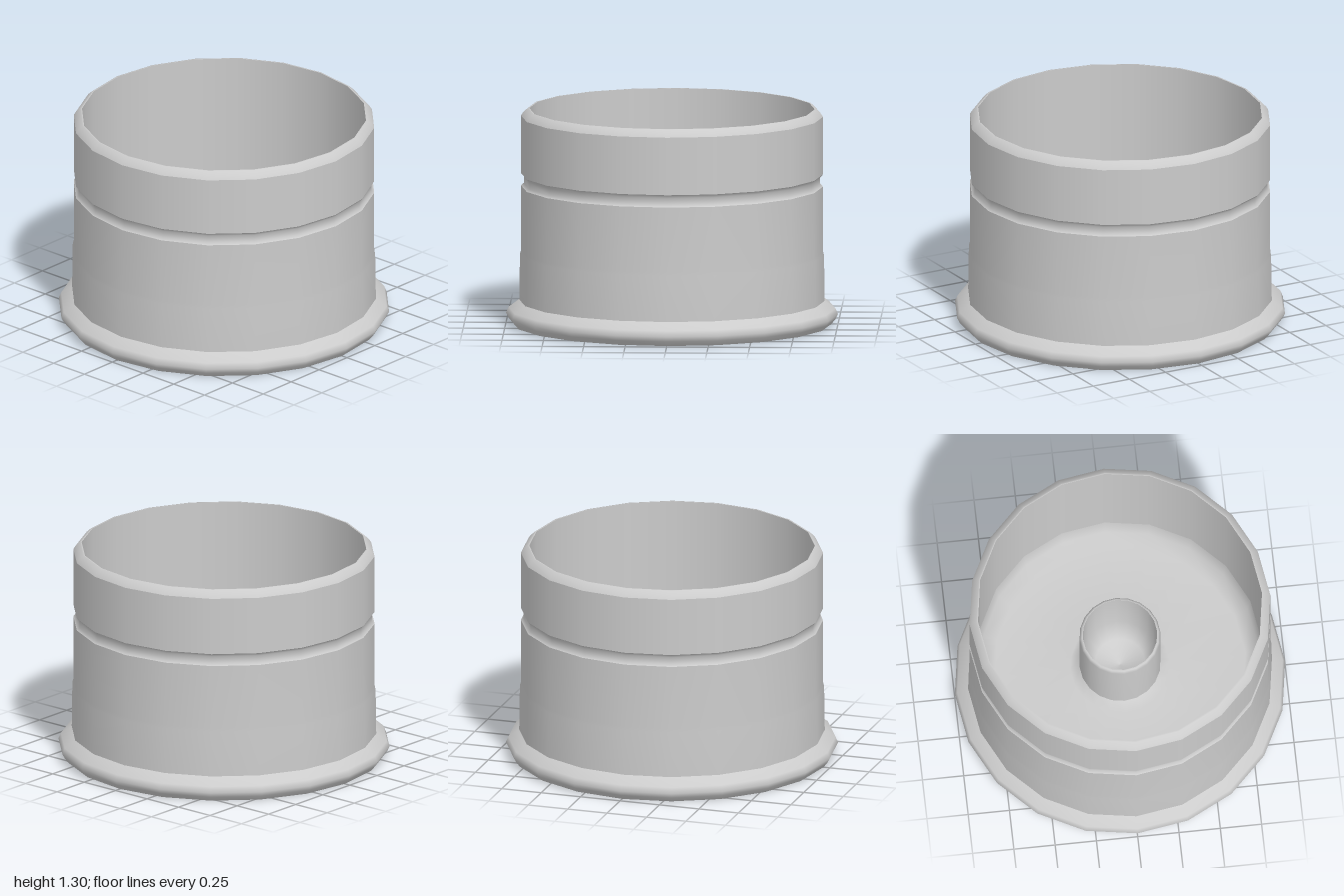
import * as THREE from 'three';

const SIDES = 20;

export function createModel() {
  const model = new THREE.Group();
  const material = new THREE.MeshStandardMaterial({ color: 0xcccccc, side: THREE.DoubleSide });

  // Turns a [radius, height] profile around the y axis; normals stay smooth within one part
  function turned(name, profile) {
    const points = profile.map(([r, y]) => new THREE.Vector2(r, y));
    const mesh = new THREE.Mesh(new THREE.LatheGeometry(points, SIDES), material);
    mesh.name = name;
    model.add(mesh);
  }

  // Underside with a round recess in the middle
  turned('baseRecess', [[0, 0.26], [0.2, 0.24], [0.245, 0.18], [0.25, 0]]);
  turned('baseUnderside', [[0.25, 0], [0.96, 0]]);

  // Flared foot
  turned('footRim', [[0.96, 0], [0.985, 0.03], [1, 0.06], [0.985, 0.095], [0.92, 0.14]]);

  // Outer wall, with the groove and bevelled lip
  turned('lowerWall', [[0.92, 0.14], [0.916, 0.42], [0.91, 0.44], [0.91, 0.835]]);
  turned('groove', [[0.91, 0.835], [0.893, 0.85], [0.893, 0.89], [0.91, 0.91]]);
  turned('upperWall', [[0.91, 0.91], [0.91, 1.26]]);
  turned('lip', [[0.91, 1.26], [0.897, 1.28], [0.87, 1.305], [0.86, 1.305]]);

  // Inner wall running down to the floor and up the central post
  turned('innerWall', [[0.86, 1.305], [0.86, 0.45]]);
  turned('innerFloor', [[0.86, 0.45], [0.84, 0.34], [0.76, 0.28], [0.3, 0.28], [0.245, 0.33]]);
  turned('centrePost', [[0.245, 0.33], [0.245, 0.8], [0.235, 0.82], [0.225, 0.82]]);
  turned('postCup', [[0.225, 0.82], [0.22, 0.46], [0.15, 0.34], [0, 0.3]]);

  return model;
}
